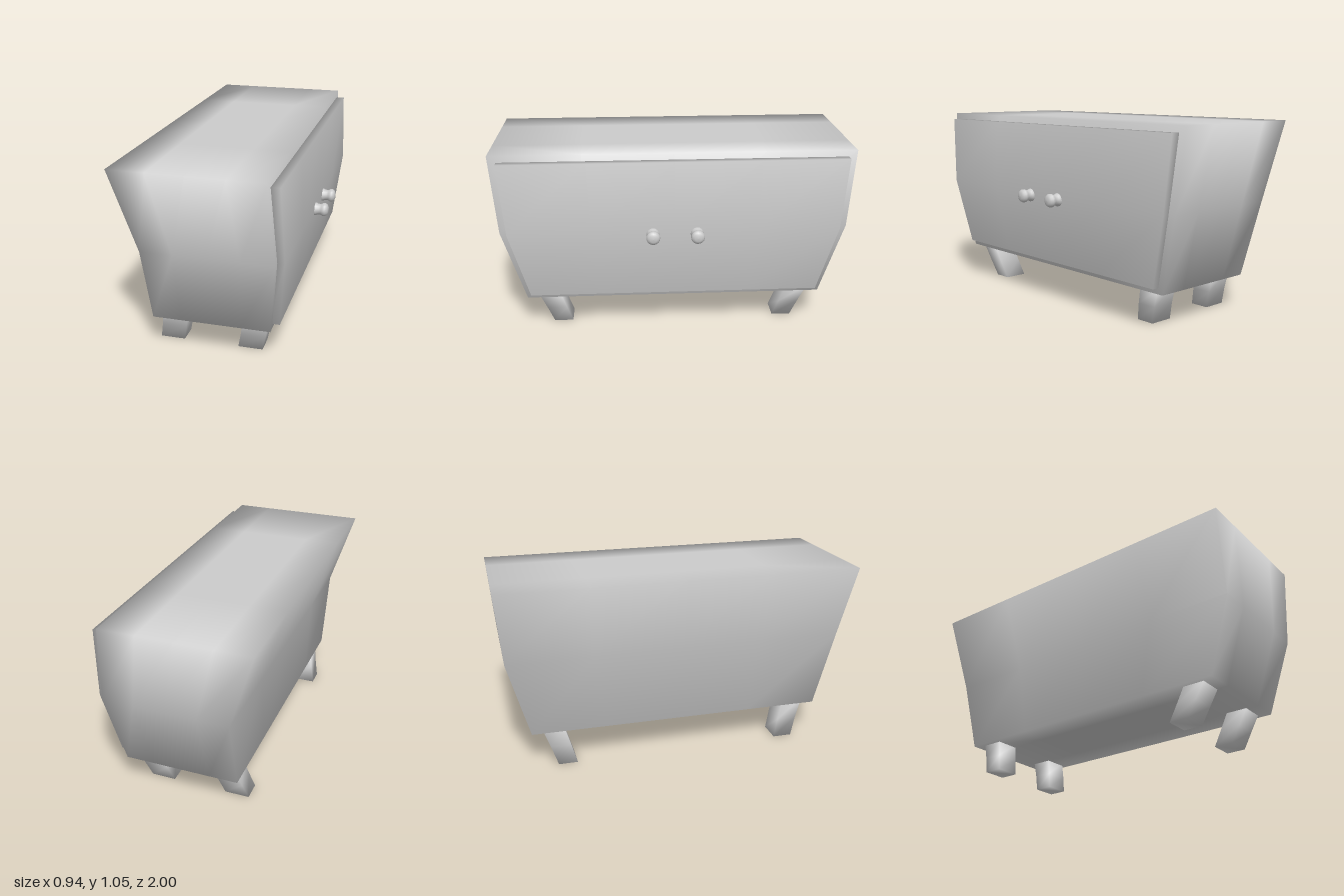
import * as THREE from 'three';
import { mergeVertices } from 'three/addons/utils/BufferGeometryUtils.js';

const material = new THREE.MeshStandardMaterial({ color: 0xcccccc });

// Box bent through three levels, bottom to top: [y, xMin, xMax, zMin, zMax].
// Corners are welded so that the shading rolls softly round the edges.
function bentBox(name, levels, segX, segZ) {
  const geometry = new THREE.BoxGeometry(1, 1, 1, segX, levels.length - 1, segZ);
  const p = geometry.attributes.position;
  for (let i = 0; i < p.count; i++) {
    const row = Math.round((p.getY(i) + 0.5) * (levels.length - 1));
    const [y, x0, x1, z0, z1] = levels[row];
    p.setXYZ(i,
      THREE.MathUtils.lerp(x0, x1, p.getX(i) + 0.5), y,
      THREE.MathUtils.lerp(z0, z1, p.getZ(i) + 0.5));
  }
  geometry.deleteAttribute('uv');
  geometry.deleteAttribute('normal');
  const welded = mergeVertices(geometry, 1e-5);
  welded.computeVertexNormals();
  const mesh = new THREE.Mesh(welded, material);
  mesh.name = name;
  return mesh;
}

export function createModel() {
  const model = new THREE.Group();
  model.name = 'cabinet';

  // Flared cabinet body
  model.add(bentBox('body', [
    [0.195, -0.33, 0.305, -0.84, 0.84],
    [0.62, -0.335, 0.355, -0.96, 0.96],
    [1.05, -0.47, 0.325, -1, 1],
  ], 4, 4));

  // Door panel following the bulge of the body
  model.add(bentBox('door', [
    [0.23, 0.295, 0.348, -0.815, 0.815],
    [0.62, 0.34, 0.392, -0.918, 0.918],
    [1.015, 0.315, 0.375, -0.952, 0.952],
  ], 1, 4));

  // Slanted legs, tucked in towards the middle at the floor
  for (const [x, xName] of [[0.095, 'door'], [-0.345, 'back']]) {
    for (const side of [1, -1]) {
      const level = (y, dx, zIn, zOut) => [
        y, x + dx, x + dx + 0.135,
        Math.min(side * zIn, side * zOut), Math.max(side * zIn, side * zOut),
      ];
      model.add(bentBox(`${xName}SideLeg${side > 0 ? 'Front' : 'Rear'}`, [
        level(0, 0, 0.595, 0.702),
        level(0.1, 0.025, 0.625, 0.738),
        level(0.21, 0.048, 0.66, 0.782),
      ], 1, 1));
    }
  }

  // Turned door knobs
  const profile = [
    [0.036, 0], [0.037, 0.01], [0.032, 0.018], [0.03, 0.03], [0.032, 0.042],
    [0.038, 0.05], [0.038, 0.062], [0.031, 0.073], [0.018, 0.08], [0, 0.081],
  ].map(([r, h]) => new THREE.Vector2(r, h));
  const knobGeometry = new THREE.LatheGeometry(profile, 16);
  for (const side of [1, -1]) {
    const knob = new THREE.Mesh(knobGeometry, material);
    knob.name = side > 0 ? 'knobFront' : 'knobRear';
    knob.rotation.z = -Math.PI / 2;
    knob.position.set(0.386, 0.608, side * 0.122);
    model.add(knob);
  }

  return model;
}
